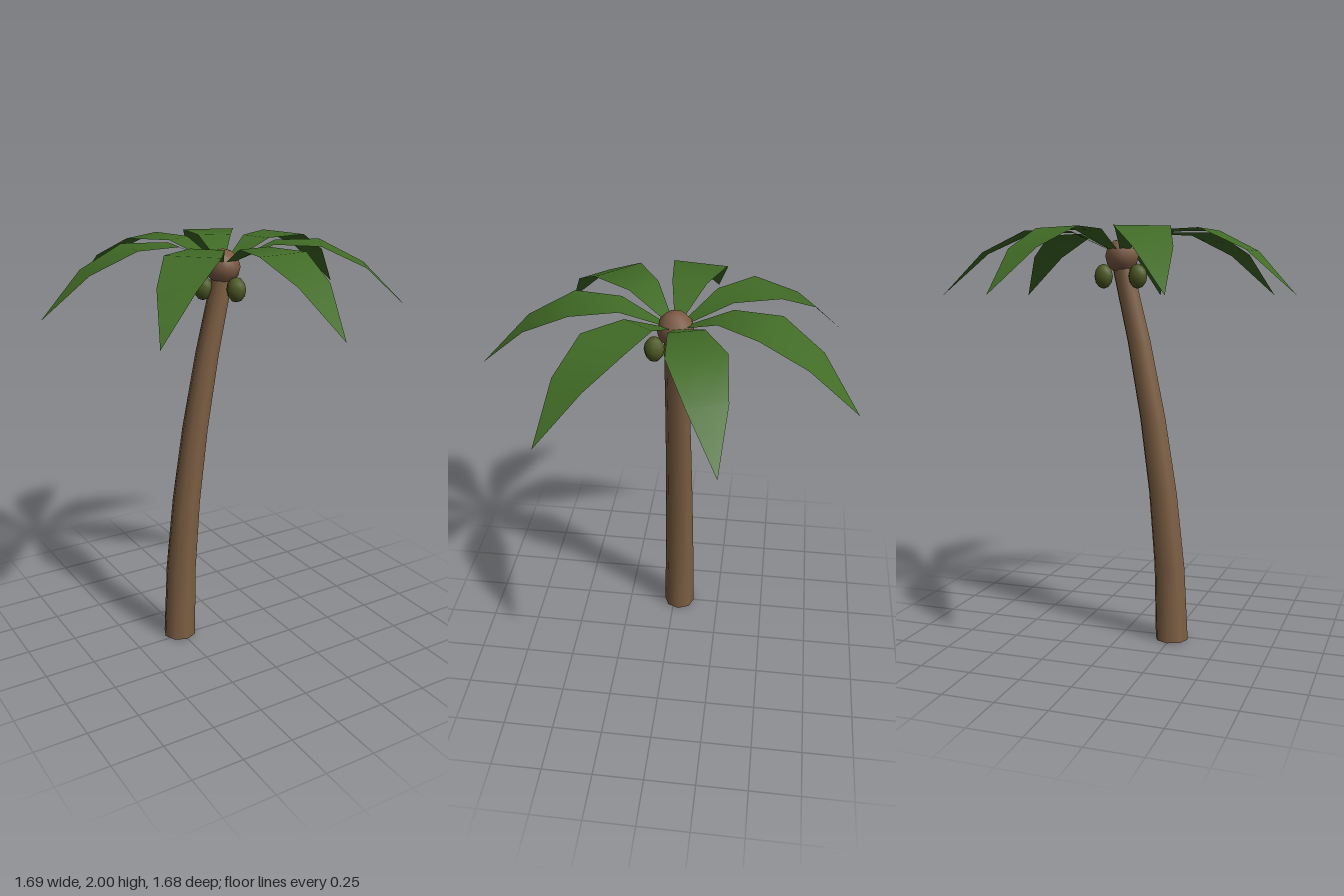
import * as THREE from 'three';

const AXIS_Z = -0.03;
const CROWN = new THREE.Vector3(0.01, 1.885, AXIS_Z);

// Tapered trunk, bent progressively towards +x
function trunkGeometry() {
  const height = 1.85, sides = 8, rings = 5;
  const geo = new THREE.CylinderGeometry(0.052, 0.083, height, sides, rings, true);
  geo.translate(0, height / 2, 0);
  const p = geo.attributes.position;
  for (let i = 0; i < p.count; i++) {
    const y = Math.max(0, p.getY(i));
    const lean = -0.252 + 0.262 * Math.pow(y / height, 1.8);
    p.setXYZ(i, p.getX(i) + lean, y, p.getZ(i) + AXIS_Z);
  }
  geo.computeVertexNormals();
  // Share the normals across the seam
  const normal = geo.attributes.normal;
  for (let r = 0; r <= rings; r++) {
    const a = r * (sides + 1), b = a + sides;
    const v = new THREE.Vector3().fromBufferAttribute(normal, a)
      .add(new THREE.Vector3().fromBufferAttribute(normal, b)).normalize();
    normal.setXYZ(a, v.x, v.y, v.z);
    normal.setXYZ(b, v.x, v.y, v.z);
  }
  return geo;
}

// Arching leaf along +x: rises from the crown, then droops to a single tip point
function frondGeometry() {
  const halfWidths = [0.012, 0.08, 0.128, 0.087];
  const spine = t => [0.03 + 0.84 * t, 1.9 + 0.6 * t - 0.8 * t * t];
  const points = [], index = [];
  halfWidths.forEach((w, i) => {
    const [x, y] = spine(i / 4);
    points.push(x, y, w, x, y, 0, x, y, -w);
  });
  points.push(...spine(1), 0);
  for (let i = 0; i < 4; i++) {
    for (let j = 0; j < 2; j++) {
      const a = i * 3 + j;
      if (i < 3) index.push(a, a + 3, a + 1, a + 1, a + 3, a + 4);
      else index.push(a, 12, a + 1);
    }
  }
  const geo = new THREE.BufferGeometry();
  geo.setAttribute('position', new THREE.Float32BufferAttribute(points, 3));
  geo.setIndex(index);
  geo.computeVertexNormals();
  return geo;
}

export function createModel() {
  const bark = new THREE.MeshStandardMaterial({ color: 0x7d5f43, side: THREE.DoubleSide });
  bark.name = 'bark brown';
  const heart = new THREE.MeshStandardMaterial({ color: 0x7b5a44 });
  heart.name = 'crown brown';
  const leaf = new THREE.MeshStandardMaterial({ color: 0x416b26, side: THREE.DoubleSide });
  leaf.name = 'leaf green';
  const husk = new THREE.MeshStandardMaterial({ color: 0x4d5a24 });
  husk.name = 'coconut green';

  const model = new THREE.Group();
  model.name = 'palmTree';
  const add = (name, geo, mat) => {
    const mesh = new THREE.Mesh(geo, mat);
    mesh.name = name;
    model.add(mesh);
    return mesh;
  };

  add('trunk', trunkGeometry(), bark);
  add('crown', new THREE.SphereGeometry(0.084, 10, 6), heart).position.copy(CROWN);

  // Seven fronds evenly spaced around the crown
  const frond = frondGeometry();
  for (let i = 0; i < 7; i++) {
    const mesh = add('frond' + (i + 1), frond, leaf);
    mesh.position.set(CROWN.x, 0, CROWN.z);
    mesh.rotation.y = -THREE.MathUtils.degToRad(85.6) - (i * Math.PI * 2) / 7;
  }

  // Three coconuts hanging below the crown
  const nut = new THREE.SphereGeometry(0.047, 8, 6);
  nut.scale(1, 1.25, 1);
  for (let i = 0; i < 3; i++) {
    const a = THREE.MathUtils.degToRad(79 + i * 120);
    add('coconut' + (i + 1), nut, husk)
      .position.set(CROWN.x + 0.095 * Math.cos(a), 1.79, CROWN.z + 0.095 * Math.sin(a));
  }
  return model;
}
